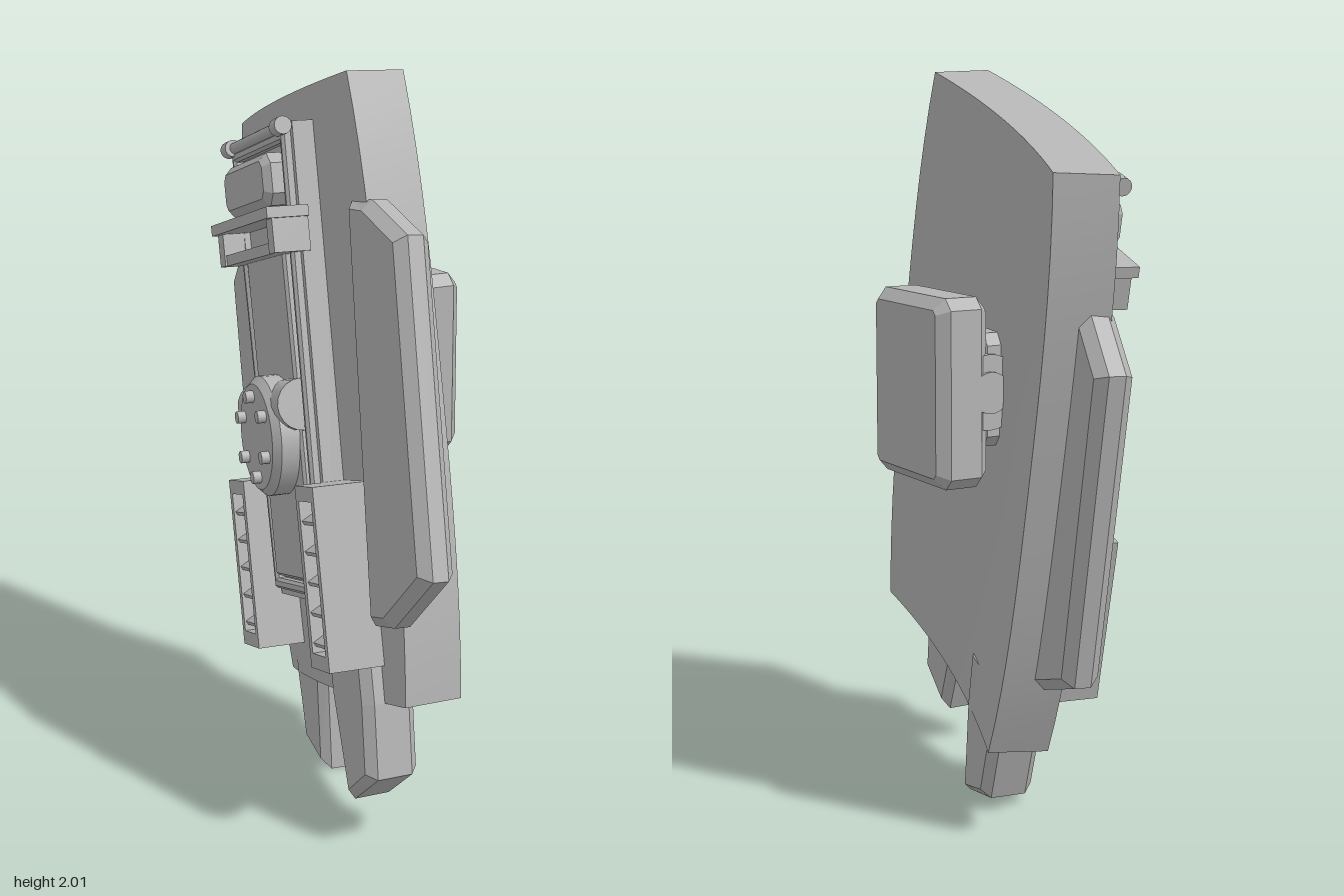
import * as THREE from 'three';

const grey = new THREE.MeshStandardMaterial({ color: 0xb4b4b4 });
grey.name = 'plain grey';

function add(parent, name, geometry, x = 0, y = 0, z = 0) {
  const mesh = new THREE.Mesh(geometry, grey);
  mesh.name = name;
  mesh.position.set(x, y, z);
  parent.add(mesh);
  return mesh;
}

function group(parent, name, x, y, z) {
  const g = new THREE.Group();
  g.name = name;
  g.position.set(x, y, z);
  parent.add(g);
  return g;
}

// Bevelled plate: outline in [z, y], reaching from x = -d0 out to x = -d1
function slab(parent, name, pts, d0, d1, bevel = 0, holes = []) {
  const shape = new THREE.Shape(pts.map(p => new THREE.Vector2(...p)));
  for (const h of holes) shape.holes.push(new THREE.Path(h.map(p => new THREE.Vector2(...p))));
  const geo = new THREE.ExtrudeGeometry(shape, {
    depth: d1 - d0 - 2 * bevel, bevelEnabled: bevel > 0, bevelSize: bevel,
    bevelThickness: bevel, bevelOffset: -bevel, bevelSegments: 1,
  });
  geo.translate(0, 0, d0 + bevel).rotateY(-Math.PI / 2);
  return add(parent, name, geo);
}

const rect = (z0, z1, y0, y1) => [[z0, y0], [z1, y0], [z1, y1], [z0, y1]];
const cutRect = (z0, z1, y0, y1, c) => [
  [z0 + c, y0], [z1 - c, y0], [z1, y0 + c], [z1, y1 - c],
  [z1 - c, y1], [z0 + c, y1], [z0, y1 - c], [z0, y0 + c]];

// Curved main plate: a box bent across its width, sides bulging at mid height
function shieldGeometry() {
  const geo = new THREE.BoxGeometry(1, 1, 1, 1, 16, 16);
  const p = geo.attributes.position;
  for (let i = 0; i < p.count; i++) {
    const s = p.getZ(i) * 2, t = p.getY(i) * 2;
    const half = 0.445 + 0.05 * (1 - Math.abs(t) ** 3);
    const slope = (-0.0775 + 0.07 * s) / 0.45;
    const depth = (0.5 - p.getX(i)) * 0.165 / Math.hypot(1, slope);
    p.setXYZ(i, -0.0775 * s + 0.035 * s * s - depth, t * 0.81, s * half + depth * slope);
  }
  geo.computeVertexNormals();
  return geo;
}

function addMechanism(shield) {
  const m = group(shield, 'backMechanism', -0.165, 0, 0);
  m.rotation.y = -0.17;
  const c = -0.04;
  const along = (r, len, sides = 16) => new THREE.CylinderGeometry(r, r, len, sides).rotateX(Math.PI / 2);

  // Tapered base, raised frame and inner door
  const taper = (w0, w1, y0, y1) => [[c - w0, y0], [c + w0, y0], [c + w1, y1], [c - w1, y1]];
  slab(m, 'basePanel', taper(0.23, 0.26, -0.56, 0.72), -0.04, 0.05);
  slab(m, 'panelFrame', taper(0.21, 0.24, -0.54, 0.7), 0.03, 0.075, 0.008,
    [taper(0.185, 0.215, -0.51, 0.67)]);
  slab(m, 'innerDoor', rect(c - 0.17, c + 0.17, -0.5, 0.42), 0.03, 0.08, 0.008);

  // Upper case below the hinge pipe
  slab(m, 'upperCase', cutRect(c - 0.2, c + 0.2, 0.51, 0.65, 0.03), 0.04, 0.12, 0.02);
  add(m, 'hingePipe', along(0.016, 0.46), -0.07, 0.71, c);
  for (const s of [-1, 1]) add(m, 'pipeCap', along(0.024, 0.05), -0.075, 0.71, c + s * 0.235);

  // Double handrail
  slab(m, 'upperRail', rect(c - 0.27, c + 0.27, 0.47, 0.5), 0.03, 0.145);
  slab(m, 'lowerRail', rect(c - 0.25, c + 0.25, 0.38, 0.41), 0.03, 0.125);
  for (const s of [-1, 1]) {
    const z = c + s * 0.235;
    slab(m, 'railBracket', rect(z - 0.025, z + 0.025, 0.38, 0.48), 0.03, 0.13);
  }

  // Round dial on a cross drum, with a ring of bolts
  add(m, 'crossDrum', along(0.07, 0.38, 20), -0.07, -0.02, c);
  const face = (r, h) => new THREE.CylinderGeometry(r * 0.88, r, h, 32).rotateZ(Math.PI / 2);
  add(m, 'dialBase', new THREE.CylinderGeometry(0.165, 0.165, 0.06, 32).rotateZ(Math.PI / 2), -0.1, -0.1, c);
  add(m, 'dialFace', face(0.165, 0.02), -0.14, -0.1, c);
  for (let i = 0; i < 6; i++) {
    const a = (i + 0.5) * Math.PI / 3;
    add(m, 'dialBolt', new THREE.CylinderGeometry(0.017, 0.017, 0.03, 12).rotateZ(Math.PI / 2),
      -0.158, -0.1 + 0.11 * Math.sin(a), c + 0.11 * Math.cos(a));
  }

  // Louvred vents on both sides
  for (const s of [-1, 1]) {
    const v = group(m, 'vent', 0, -0.47, c + s * 0.315);
    slab(v, 'ventBack', rect(-0.075, 0.075, -0.24, 0.24), -0.02, 0.06);
    slab(v, 'ventFrame', rect(-0.075, 0.075, -0.24, 0.24), 0.05, 0.13, 0,
      [rect(-0.052, 0.052, -0.2, 0.2)]);
    for (let i = 0; i < 5; i++) {
      const fin = add(v, 'ventFin', new THREE.BoxGeometry(0.075, 0.012, 0.104), -0.09, -0.16 + i * 0.08, 0);
      fin.rotation.z = 0.5;
    }
  }
}

export function createModel() {
  const model = new THREE.Group();
  model.name = 'curvedShield';

  const shield = group(model, 'tiltedShield', 0.06, 1.1, -0.01);
  shield.rotation.set(-0.255, 0, -0.037);
  add(shield, 'mainPlate', shieldGeometry());

  // Side wings, mirrored front to back
  for (const s of [1, -1]) {
    const wing = group(shield, s > 0 ? 'frontWing' : 'rearWing', s > 0 ? -0.15 : 0.03, 0, s * 0.5);
    wing.rotation.set(0, s > 0 ? -0.02 : -0.2, s > 0 ? -0.045 : 0);
    const pts = [[-0.1, 0.49], [0, 0.475], [0.17, 0.37], [0.205, -0.475], [0, -0.6], [-0.1, -0.6]];
    slab(wing, 'wingPlate', pts.map(([z, y]) => [z * s, y]), 0, 0.1, 0.028);
  }

  // Lower legs
  for (const s of [1, -1]) {
    const leg = group(shield, s > 0 ? 'frontLeg' : 'rearLeg', s > 0 ? -0.09 : 0.02, 0, -0.035);
    leg.rotation.y = s > 0 ? -0.05 : -0.15;
    const pts = [[0.15, -0.63], [0.37, -0.63], [0.37, -0.81], [0.35, -1.01], [0.2, -1.08], [0.155, -0.8]];
    slab(leg, 'legBlock', pts.map(([z, y]) => [z * s, y]), 0, 0.15, 0.025);
  }

  addMechanism(shield);

  // Upright pad with its bracket and pivot
  const mount = group(model, 'armMount', 0, 1.18, -0.055);
  slab(mount, 'mountPad', cutRect(-0.195, 0.195, -0.25, 0.25, 0.03), -0.29, -0.14, 0.03);
  slab(mount, 'mountBracket', cutRect(-0.17, 0.14, -0.15, 0.15, 0.03), -0.15, -0.045, 0.012);
  add(mount, 'mountPivot', new THREE.CylinderGeometry(0.1, 0.1, 0.37, 28).rotateX(Math.PI / 2), 0.14, 0, 0);
  add(mount, 'pivotHub', new THREE.CylinderGeometry(0.055, 0.055, 0.39, 24).rotateX(Math.PI / 2), 0.14, 0, 0);

  return model;
}
